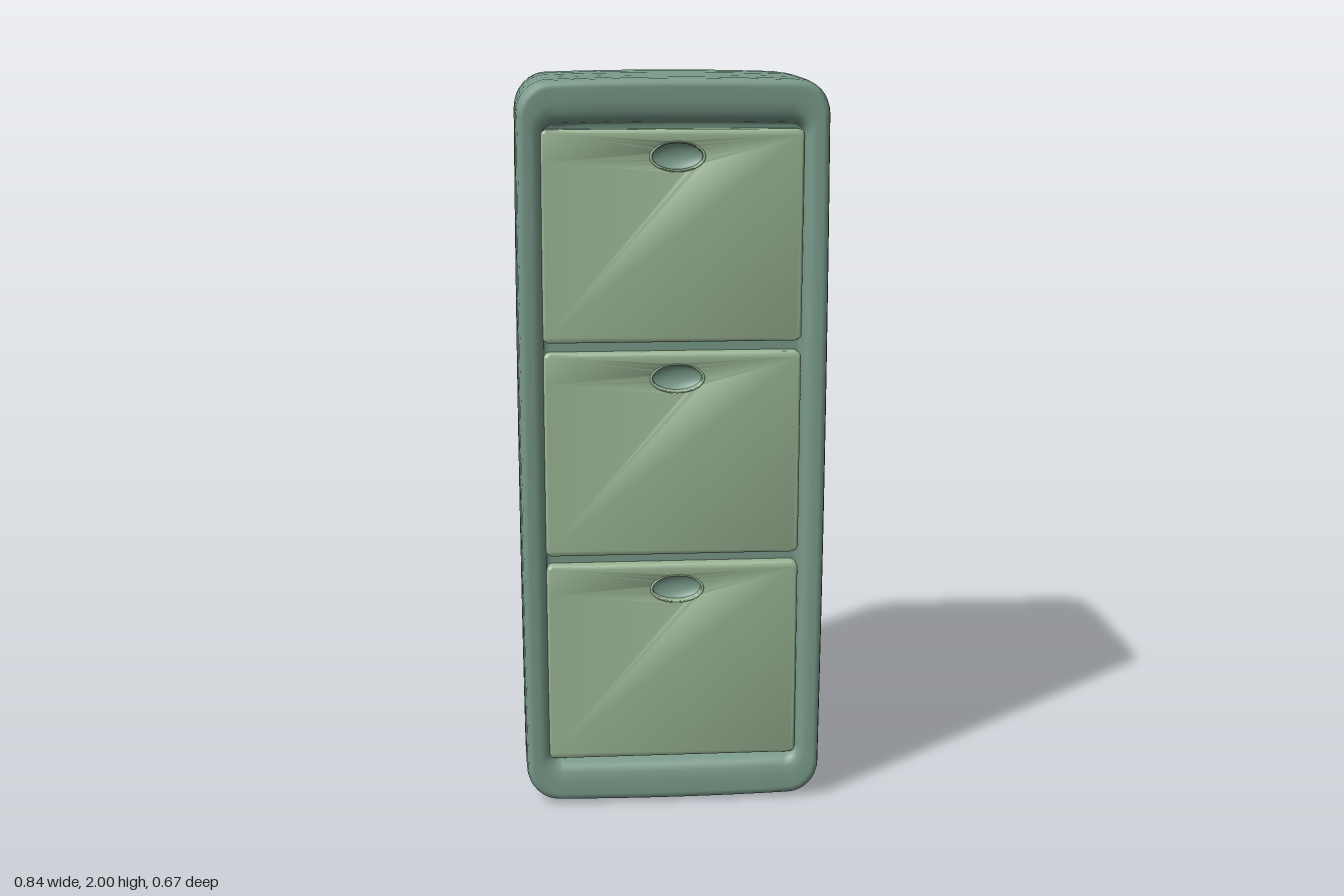
import * as THREE from 'three';
import { toCreasedNormals } from 'three/addons/utils/BufferGeometryUtils.js';

const bodyMat = new THREE.MeshStandardMaterial({ color: 0x7a9b8b });
const drawerMat = new THREE.MeshStandardMaterial({ color: 0x9db897 });
const cupMat = new THREE.MeshStandardMaterial({ color: 0x7a9b8b, side: THREE.DoubleSide });

const HW = 0.42, HH = 1, HD = 0.335;

// Rounded rectangle, counter-clockwise, with extra points along the sides
function roundedRing(hw, hh, r) {
  r = Math.min(r, hw, hh);
  const arcs = [[1, 1], [-1, 1], [-1, -1], [1, -1]].map(([sx, sy], c) => {
    const arc = [];
    for (let i = 0; i <= 8; i++) {
      const a = (c + i / 8) * Math.PI / 2;
      arc.push(new THREE.Vector2(sx * (hw - r) + r * Math.cos(a), sy * (hh - r) + r * Math.sin(a)));
    }
    return arc;
  });
  const ring = [];
  arcs.forEach((arc, c) => {
    ring.push(...arc);
    const next = arcs[(c + 1) % 4][0];
    for (let i = 1; i < 8; i++) ring.push(arc[8].clone().lerp(next, i / 8));
  });
  return ring;
}

// Cabinet shell: rings from the back centre, round the sides and into the front recess
function cabinetGeometry() {
  const rings = []; // [z, inset x, inset y, corner radius]
  const R = 0.075;
  for (const s of [0, 0.35, 0.7]) rings.push([-HD, HW - s * (HW - R), HH - s * (HH - R), 0.04]);
  for (let i = 0; i <= 8; i++) {
    const a = i / 8 * Math.PI / 2;
    const inset = R * (1 - Math.sin(a));
    rings.push([-HD + R * (1 - Math.cos(a)), inset, inset, 0.085 - inset * 0.5]);
  }
  for (const z of [-0.1, 0.05, 0.2, 0.29]) rings.push([z, 0, 0, 0.085]);
  rings.push(
    [0.315, 0.002, 0.002, 0.085], [0.328, 0.005, 0.005, 0.083], [0.334, 0.012, 0.012, 0.08],
    [0.335, 0.02, 0.022, 0.075], [0.334, 0.04, 0.06, 0.06], [0.33, 0.052, 0.085, 0.05],
    [0.322, 0.062, 0.102, 0.04], [0.308, 0.068, 0.112, 0.032], [0.285, 0.071, 0.118, 0.028],
    [0.28, 0.074, 0.121, 0.026], [0.28, 0.085, 0.135, 0.02], [0.28, HW, HH, 0.02]
  );
  const pos = [], index = [];
  let n = 0;
  for (const [z, ix, iy, r] of rings) {
    const ring = roundedRing(HW - ix, HH - iy, r);
    n = ring.length;
    for (const p of ring) {
      // slight pillow-like bow of every outer side
      const u = p.x / HW, v = p.y / HH, w = z / HD;
      const back = Math.max(0, -w);
      pos.push(
        p.x * (1 - 0.012 * v * v - 0.018 * w * w),
        1 + p.y * (1 - 0.008 * u * u - 0.004 * w * w),
        z + 0.012 * back * (u * u + v * v) * 0.6
      );
    }
  }
  for (let k = 0; k < rings.length - 1; k++) {
    for (let j = 0; j < n; j++) {
      const a = k * n + j, b = k * n + (j + 1) % n;
      index.push(a, b, b + n, a, b + n, a + n);
    }
  }
  const geo = new THREE.BufferGeometry();
  geo.setAttribute('position', new THREE.Float32BufferAttribute(pos, 3));
  geo.setIndex(index);
  geo.computeVertexNormals();
  return geo;
}

const DW = 0.345, DH = 0.28, FRONT = 0.317, BEVEL = 0.008;
const CUP = { x: 0.012, y: 0.21, rx: 0.07, ry: 0.038 };

// Drawer front with an oval hole for the finger pull
function drawerGeometry() {
  const shape = new THREE.Shape(roundedRing(DW - BEVEL, DH - BEVEL, 0.01));
  const hole = new THREE.Path();
  hole.absellipse(CUP.x, CUP.y, CUP.rx + BEVEL * 0.5, CUP.ry + BEVEL * 0.5, 0, Math.PI * 2, true);
  shape.holes.push(hole);
  const geo = new THREE.ExtrudeGeometry(shape, {
    depth: 0.027, bevelThickness: BEVEL, bevelSize: BEVEL, bevelSegments: 4, curveSegments: 40
  });
  geo.translate(0, 0, FRONT - 0.027 - BEVEL);
  return toCreasedNormals(geo, 0.7);
}

// Shallow oval bowl sunk behind the hole
function cupGeometry() {
  const geo = new THREE.SphereGeometry(1, 40, 12, 0, Math.PI * 2, Math.PI / 2, Math.PI / 2);
  geo.rotateX(Math.PI / 2);
  geo.scale(CUP.rx + 0.002, CUP.ry + 0.002, 0.026);
  geo.translate(CUP.x, CUP.y, FRONT - 0.007);
  return geo;
}

// Thin raised lip around the finger pull
function lipGeometry() {
  const geo = new THREE.TorusGeometry(1, 0.06, 8, 48);
  geo.scale(CUP.rx, CUP.ry, 0.07);
  geo.translate(CUP.x, CUP.y, FRONT - 0.001);
  geo.computeVertexNormals();
  return geo;
}

export function createModel() {
  const model = new THREE.Group();
  model.name = 'filingCabinet';
  const add = (parent, name, geo, mat) => {
    const mesh = new THREE.Mesh(geo, mat);
    mesh.name = name;
    parent.add(mesh);
  };
  add(model, 'cabinetBody', cabinetGeometry(), bodyMat);

  // Three identical drawers
  const face = drawerGeometry(), cup = cupGeometry(), lip = lipGeometry();
  ['bottomDrawer', 'middleDrawer', 'topDrawer'].forEach((name, i) => {
    const drawer = new THREE.Group();
    drawer.name = name;
    drawer.position.set(-0.003, 0.408 + i * 0.588, 0);
    add(drawer, 'drawerFront', face, drawerMat);
    add(drawer, 'fingerPull', cup, cupMat);
    add(drawer, 'fingerPullLip', lip, drawerMat);
    model.add(drawer);
  });
  return model;
}
